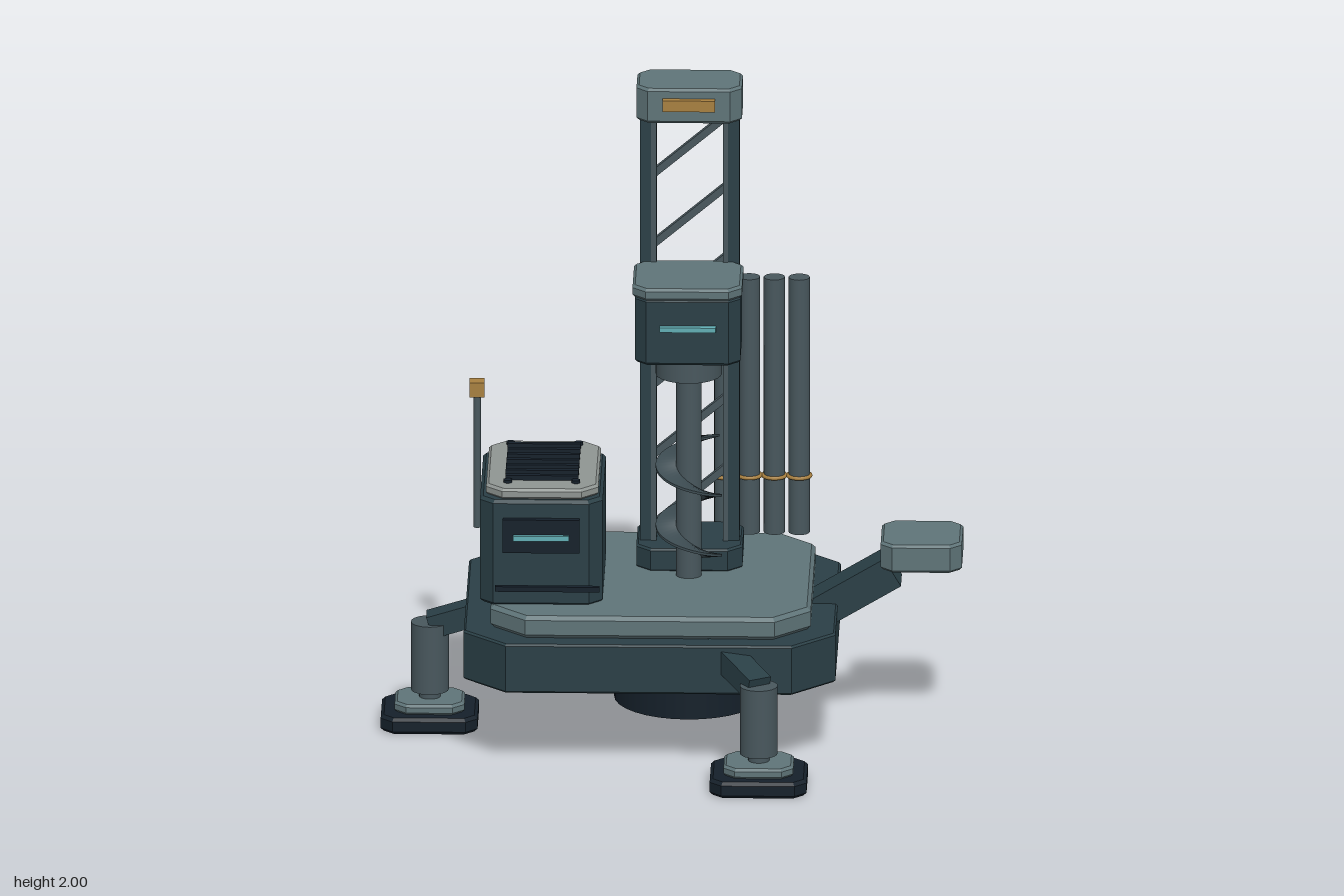
import * as THREE from 'three';
import { ParametricGeometry } from 'three/addons/geometries/ParametricGeometry.js';

const mat = (color, extra = {}) => Object.assign(new THREE.MeshStandardMaterial({ color }), extra);
const HULL = mat(0x2a3f46), PLATE = mat(0x5f7478), DARK = mat(0x15202a), STEEL = mat(0x48575d);
const GOLD = mat(0xa88040), GLOW = mat(0x62aeb4), COVER = mat(0x8f9592);
const FLIGHT = mat(0x3c4b51, { side: THREE.DoubleSide });

// Slab with cut corners and bevelled rims, lying flat and centred
function slabGeometry(w, h, d, cut, bevel) {
  const x = w / 2 - bevel, z = d / 2 - bevel, c = cut;
  const shape = new THREE.Shape([
    [x - c, -z], [x, c - z], [x, z - c], [x - c, z],
    [c - x, z], [-x, z - c], [-x, c - z], [c - x, -z],
  ].map(([a, b]) => new THREE.Vector2(a, b)));
  const g = new THREE.ExtrudeGeometry(shape, {
    depth: h - 2 * bevel, bevelEnabled: true, bevelSegments: 1, bevelSize: bevel, bevelThickness: bevel,
  });
  return g.rotateX(-Math.PI / 2).translate(0, bevel - h / 2, 0);
}

export function createModel() {
  const model = new THREE.Group();
  model.name = 'drillingRig';

  const add = (name, geometry, material, x, y, z, parent = model) => {
    const m = new THREE.Mesh(geometry, material);
    m.name = name;
    m.position.set(x, y, z);
    parent.add(m);
    return m;
  };
  // Shapes given by their extents: [min, max] on each axis
  const mid = ([a, b]) => (a + b) / 2, len = ([a, b]) => b - a;
  const box = (name, material, x, y, z, parent) =>
    add(name, new THREE.BoxGeometry(len(x), len(y), len(z)), material, mid(x), mid(y), mid(z), parent);
  const slab = (name, material, x, y, z, cut, bevel, parent) =>
    add(name, slabGeometry(len(x), len(y), len(z), cut, bevel), material, mid(x), mid(y), mid(z), parent);
  const rod = (name, material, r, x, y, z, parent, rTop = r, sides = 24) =>
    add(name, new THREE.CylinderGeometry(rTop, r, len(y), sides), material, x, mid(y), z, parent);
  const beam = (name, material, from, to, w, h, parent = model) => {
    const a = new THREE.Vector3(...from), b = new THREE.Vector3(...to);
    const c = a.clone().add(b).multiplyScalar(0.5);
    const m = add(name, new THREE.BoxGeometry(w, h, a.distanceTo(b)), material, c.x, c.y, c.z, parent);
    m.lookAt(b);
    return m;
  };
  const group = (name) => {
    const g = new THREE.Group();
    g.name = name;
    model.add(g);
    return g;
  };

  // Platform
  slab('chassis', HULL, [-0.62, 0.5], [0.255, 0.41], [-0.465, 0.465], 0.125, 0.006);
  slab('deck', PLATE, [-0.54, 0.425], [0.41, 0.48], [-0.41, 0.41], 0.1, 0.012);

  // Slewing ring below the platform
  rod('bearing', DARK, 0.225, 0.05, [0.095, 0.205], 0, model, 0.225, 32);
  rod('bearingRim', GOLD, 0.225, 0.05, [0.205, 0.235], 0, model, 0.2, 32);

  // Outriggers
  const legs = [
    ['leftOutrigger', -0.73, 0, [-0.5, 0.385, 0]],
    ['frontOutrigger', 0.275, 0.58, [0.13, 0.385, 0.35]],
    ['backOutrigger', 0.275, -0.585, [0.13, 0.385, -0.35]],
  ];
  for (const [name, x, z, root] of legs) {
    const leg = group(name);
    beam('outriggerArm', HULL, root, [x, 0.315, z], 0.075, 0.07, leg);
    rod('jack', STEEL, 0.057, x, [0.11, 0.325], z, leg);
    rod('jackRod', STEEL, 0.032, x, [0.085, 0.112], z, leg);
    slab('footPlate', PLATE, [x - 0.105, x + 0.105], [0.055, 0.088], [z - 0.09, z + 0.09], 0.03, 0.008, leg);
    slab('foot', DARK, [x - 0.146, x + 0.146], [0.005, 0.056], [z - 0.125, z + 0.125], 0.03, 0.01, leg);
  }

  // Side boom with counterweight
  beam('boom', HULL, [0.38, 0.34, 0], [0.665, 0.51, 0], 0.115, 0.1);
  slab('counterweight', PLATE, [0.63, 0.875], [0.53, 0.618], [-0.122, 0.122], 0.03, 0.008);

  // Mast: two rails, diagonal braces, base and crown
  const mast = group('mast');
  slab('mastBase', HULL, [-0.11, 0.21], [0.478, 0.55], [-0.3, -0.03], 0.04, 0.006, mast);
  for (const s of [-1, 1]) {
    const cx = 0.05 + s * 0.125;
    box('mastRail', HULL, [cx - 0.025, cx + 0.025], [0.54, 1.9], [-0.2, -0.116], mast);
    const gx = 0.05 + s * 0.108;
    box('guideRail', STEEL, [gx - 0.008, gx + 0.008], [0.55, 1.89], [-0.12, -0.112], mast);
  }
  for (let i = 0; i < 6; i++) {
    const y = 0.575 + i * 0.223;
    beam('brace', STEEL, [-0.06, y, -0.195], [0.16, y + 0.185, -0.195], 0.022, 0.022, mast);
  }
  slab('crown', PLATE, [-0.11, 0.208], [1.89, 2.0], [-0.258, -0.065], 0.03, 0.008, mast);
  box('crownBadge', GOLD, [-0.03, 0.128], [1.935, 1.97], [-0.07, -0.043], mast);

  // Drill head and auger
  const drill = group('drill');
  slab('driveHead', HULL, [-0.11, 0.208], [1.19, 1.4], [-0.13, 0.14], 0.03, 0.008, drill);
  slab('driveHeadCap', PLATE, [-0.117, 0.213], [1.397, 1.435], [-0.135, 0.147], 0.035, 0.008, drill);
  box('headLight', GLOW, [-0.035, 0.135], [1.302, 1.317], [0.138, 0.16], drill);
  rod('chuck', STEEL, 0.1, 0.05, [1.12, 1.195], 0, drill, 0.1, 28);
  rod('drillPipe', STEEL, 0.039, 0.05, [0.47, 1.13], 0, drill);
  // Helical blade, as a thin solid ribbon: two faces and an outer edge
  const pitch = 0.19;
  const loop = [[0.035, 0.008], [0.1, 0.004], [0.1, -0.004], [0.035, -0.008]];
  const flight = (k) => new ParametricGeometry((u, v, t) => {
    const y = 0.54 + v * 0.37, a = Math.PI / 2 + ((y - 0.78) / pitch) * 2 * Math.PI;
    const r = THREE.MathUtils.lerp(loop[k][0], loop[k + 1][0], u);
    const dy = THREE.MathUtils.lerp(loop[k][1], loop[k + 1][1], u);
    t.set(Math.cos(a) * r, y + dy, Math.sin(a) * r);
  }, 1, 72);
  for (let k = 0; k < 3; k++) add('augerBlade', flight(k), FLIGHT, 0.05, 0, 0, drill);

  // Engine housing with grille, front display and rear louvres
  const engine = group('engine');
  slab('engineBody', HULL, [-0.573, -0.203], [0.475, 0.81], [-0.198, 0.295], 0.035, 0.01, engine);
  slab('engineCover', COVER, [-0.555, -0.217], [0.808, 0.842], [-0.183, 0.282], 0.045, 0.008, engine);
  for (let i = 0; i < 7; i++) {
    const z = -0.112 + i * 0.05;
    box('grilleSlat', DARK, [-0.498, -0.278], [0.838, 0.857], [z - 0.009, z + 0.009], engine);
  }
  for (const x of [-0.49, -0.285]) for (const z of [-0.142, 0.215])
    rod('coverBolt', DARK, 0.013, x, [0.838, 0.851], z, engine, 0.013, 10);
  box('displayPanel', DARK, [-0.503, -0.272], [0.65, 0.755], [0.285, 0.315], engine);
  box('displayLight', GLOW, [-0.472, -0.303], [0.692, 0.708], [0.31, 0.328], engine);
  for (let i = 0; i < 6; i++) {
    const y = 0.567 + i * 0.022;
    box('rearLouvre', DARK, [-0.455, -0.325], [y - 0.007, y + 0.007], [-0.222, -0.19], engine);
  }

  // Hand rails either side of the engine
  for (const z of [0.352, -0.355])
    box('handRail', DARK, [-0.525, -0.21], [0.542, 0.558], [z - 0.008, z + 0.008]);

  // Rack of spare drill pipes
  const rack = group('pipeRack');
  for (let i = 0; i < 4; i++) {
    const x = 0.15 + i * 0.075;
    rod('sparePipe', STEEL, 0.032, x, [0.51, 1.32], -0.322, rack, 0.032, 16);
    add('pipeClamp', new THREE.TorusGeometry(0.034, 0.006, 8, 24).rotateX(Math.PI / 2), GOLD, x, 0.69, -0.322, rack);
  }

  // Beacon
  rod('beaconPost', STEEL, 0.011, -0.597, [0.495, 0.915], -0.39, model, 0.011, 12);
  box('beacon', GOLD, [-0.62, -0.575], [0.913, 0.96], [-0.412, -0.367]);

  return model;
}
